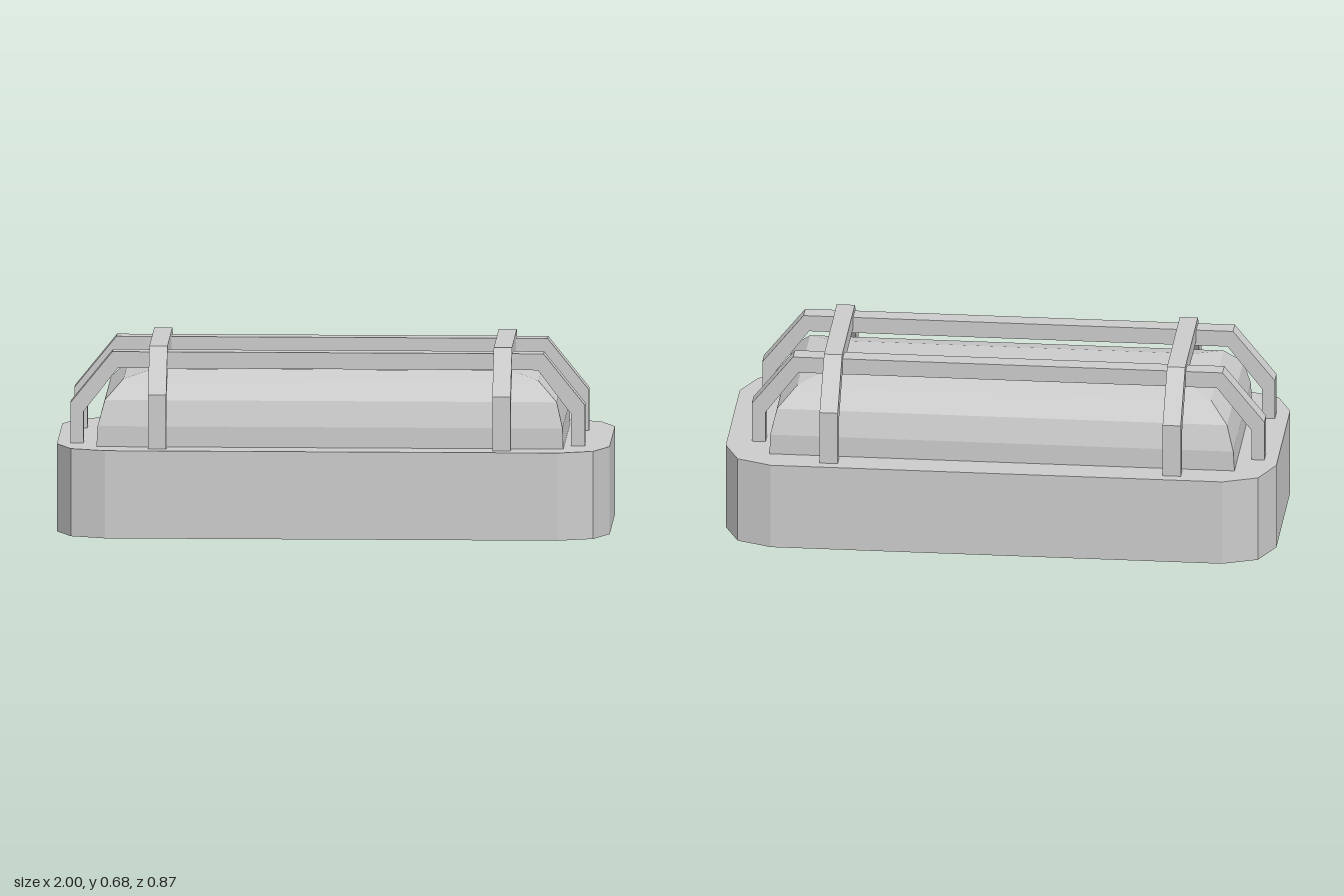
import * as THREE from 'three';

const material = new THREE.MeshStandardMaterial({ color: 0xcccccc, flatShading: true });

function addMesh(parent, name, geometry) {
  const mesh = new THREE.Mesh(geometry, material);
  mesh.name = name;
  parent.add(mesh);
  return mesh;
}

// Extrude a closed outline, centred on its depth
function extrude(points, depth) {
  const shape = new THREE.Shape(points.map(([x, y]) => new THREE.Vector2(x, y)));
  const geometry = new THREE.ExtrudeGeometry(shape, { depth, bevelEnabled: false });
  return geometry.translate(0, 0, -depth / 2);
}

// Rectangular rings [x0, x1, z0, z1, y] joined into a mitred, capped shell
function stackedRings(rings) {
  const positions = [];
  for (const [x0, x1, z0, z1, y] of rings) {
    positions.push(x0, y, z1, x1, y, z1, x1, y, z0, x0, y, z0);
  }
  const index = [];
  for (let r = 0; r < rings.length - 1; r++) {
    for (let i = 0; i < 4; i++) {
      const a = r * 4 + i, b = r * 4 + (i + 1) % 4;
      index.push(a, b, b + 4, a, b + 4, a + 4);
    }
  }
  const t = (rings.length - 1) * 4;
  index.push(t, t + 1, t + 2, t, t + 2, t + 3);
  const geometry = new THREE.BufferGeometry();
  geometry.setAttribute('position', new THREE.Float32BufferAttribute(positions, 3));
  geometry.setIndex(index);
  const flat = geometry.toNonIndexed();
  flat.computeVertexNormals();
  return flat;
}

export function createModel() {
  const model = new THREE.Group();
  model.name = 'bulkheadLamp';

  // Housing with two-step chamfered corners
  const corner = [[1, 0.26], [0.945, 0.385], [0.82, 0.435]];
  const flipped = corner.slice().reverse();
  const outline = [
    ...corner,
    ...flipped.map(([x, z]) => [-x, z]),
    ...corner.map(([x, z]) => [-x, -z]),
    ...flipped.map(([x, z]) => [x, -z]),
  ];
  const housing = addMesh(model, 'housing', extrude(outline, 0.32));
  housing.geometry.rotateX(-Math.PI / 2).translate(0, 0.16, -0.003);

  // Faceted lamp cover
  addMesh(model, 'lampCover', stackedRings([
    [-0.855, 0.835, -0.33, 0.328, 0.31],
    [-0.85, 0.832, -0.33, 0.328, 0.395],
    [-0.825, 0.81, -0.305, 0.303, 0.487],
    [-0.76, 0.742, -0.238, 0.236, 0.555],
    [-0.66, 0.645, -0.143, 0.14, 0.578],
  ]));

  // Guard bars running along the length
  const longBar = [
    [-0.952, 0.31], [-0.952, 0.468], [-0.8, 0.655], [0.76, 0.655], [0.91, 0.468], [0.91, 0.31],
    [0.86, 0.31], [0.86, 0.435], [0.74, 0.595], [-0.78, 0.595], [-0.905, 0.435], [-0.905, 0.31],
  ];
  for (const [name, z] of [['frontLongBar', 0.21], ['backLongBar', -0.185]]) {
    addMesh(model, name, extrude(longBar, 0.065)).position.z = z;
  }

  // Guard bars crossing over them, profile given as (z, y)
  const crossBar = [
    [-0.4, 0.31], [-0.4, 0.517], [-0.232, 0.677], [0.243, 0.677], [0.384, 0.517], [0.384, 0.31],
    [0.33, 0.31], [0.333, 0.48], [0.222, 0.613], [-0.214, 0.613], [-0.347, 0.48], [-0.347, 0.31],
  ];
  for (const [name, x] of [['rightCrossBar', -0.633], ['leftCrossBar', 0.613]]) {
    const bar = addMesh(model, name, extrude(crossBar, 0.066));
    bar.rotation.y = -Math.PI / 2;
    bar.position.x = x;
  }

  return model;
}
